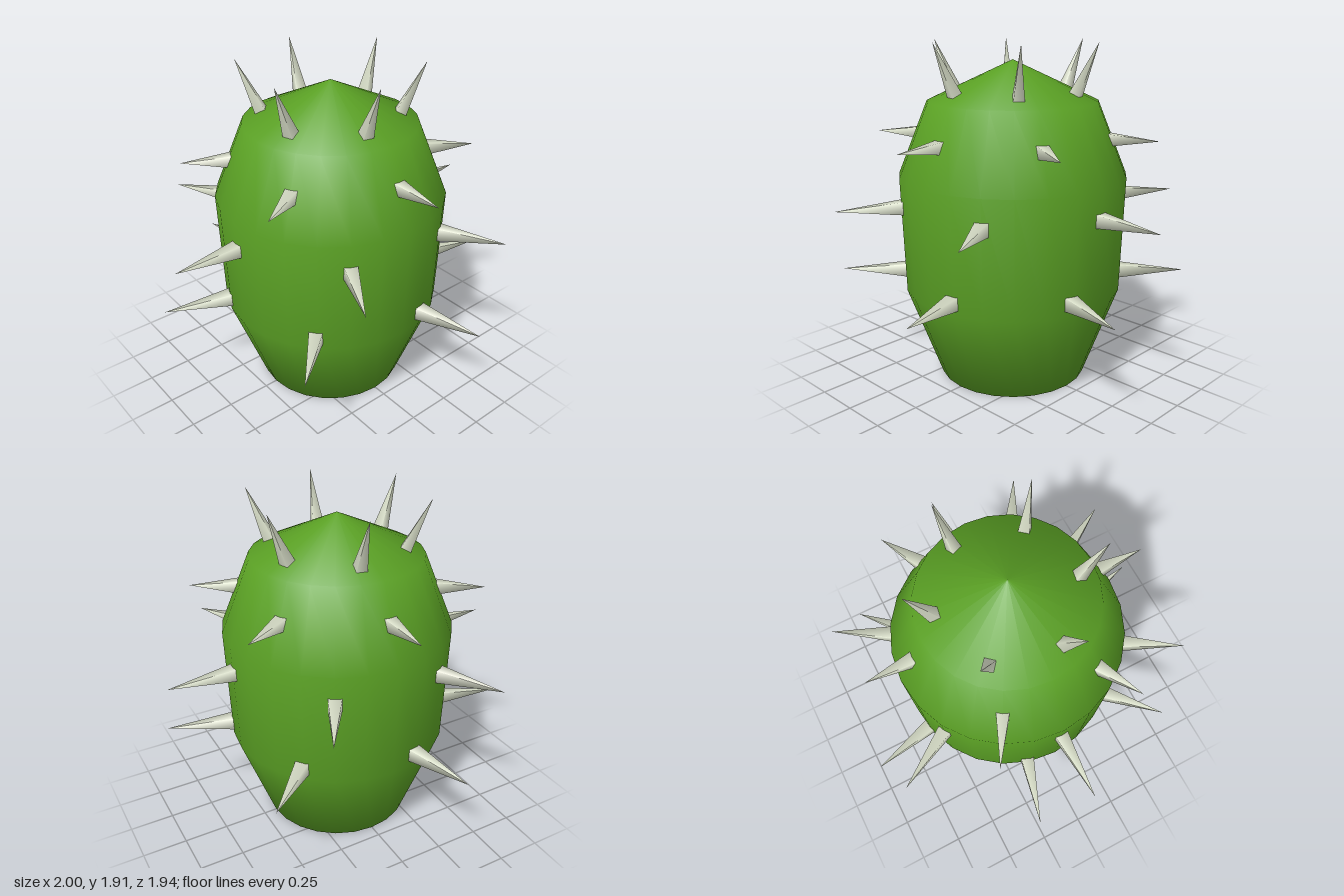
import * as THREE from 'three';

export function createModel() {
  const group = new THREE.Group();
  const green = new THREE.MeshStandardMaterial({ color: 0x5aa024 });
  green.name = 'cactusGreen';
  const pale = new THREE.MeshStandardMaterial({ color: 0xd9dfc9 });
  pale.name = 'paleSpine';

  // Body: one smooth turned shape, closed at the bottom and the tip
  const profile = [[0, 0], [0.425, 0], [0.62, 0.53], [0.642, 1.18], [0.475, 1.59], [0, 1.81]]
    .map(([r, y]) => new THREE.Vector2(r, y));
  const body = new THREE.Mesh(new THREE.LatheGeometry(profile, 24), green);
  body.name = 'body';
  group.add(body);

  // Spines: rings of six four-sided cones, from a base point to a tip (radius, height)
  const rings = [
    { name: 'lowerSpine', base: [0.58, 0.6], tip: [0.995, 0.6], width: 0.058, start: 16.5 },
    { name: 'middleSpine', base: [0.6, 1.02], tip: [1, 1.02], width: 0.056, start: 0 },
    { name: 'upperSpine', base: [0.52, 1.39], tip: [0.81, 1.39], width: 0.051, start: 30 },
    { name: 'crownSpine', base: [0.36, 1.61], tip: [0.495, 1.912], width: 0.046, start: -18.8 },
  ];
  for (const { name, base, tip, width, start } of rings) {
    const dr = tip[0] - base[0];
    const dy = tip[1] - base[1];
    const length = Math.hypot(dr, dy);
    const cone = new THREE.ConeGeometry(width, length, 4);
    cone.rotateY(Math.PI / 4);
    cone.translate(0, length / 2, 0);
    cone.rotateZ(-Math.atan2(dr, dy));
    cone.translate(base[0], base[1], 0);
    for (let i = 0; i < 6; i++) {
      const spine = new THREE.Mesh(cone, pale);
      spine.name = name + (i + 1);
      spine.rotation.y = -THREE.MathUtils.degToRad(start + i * 60);
      group.add(spine);
    }
  }
  return group;
}
